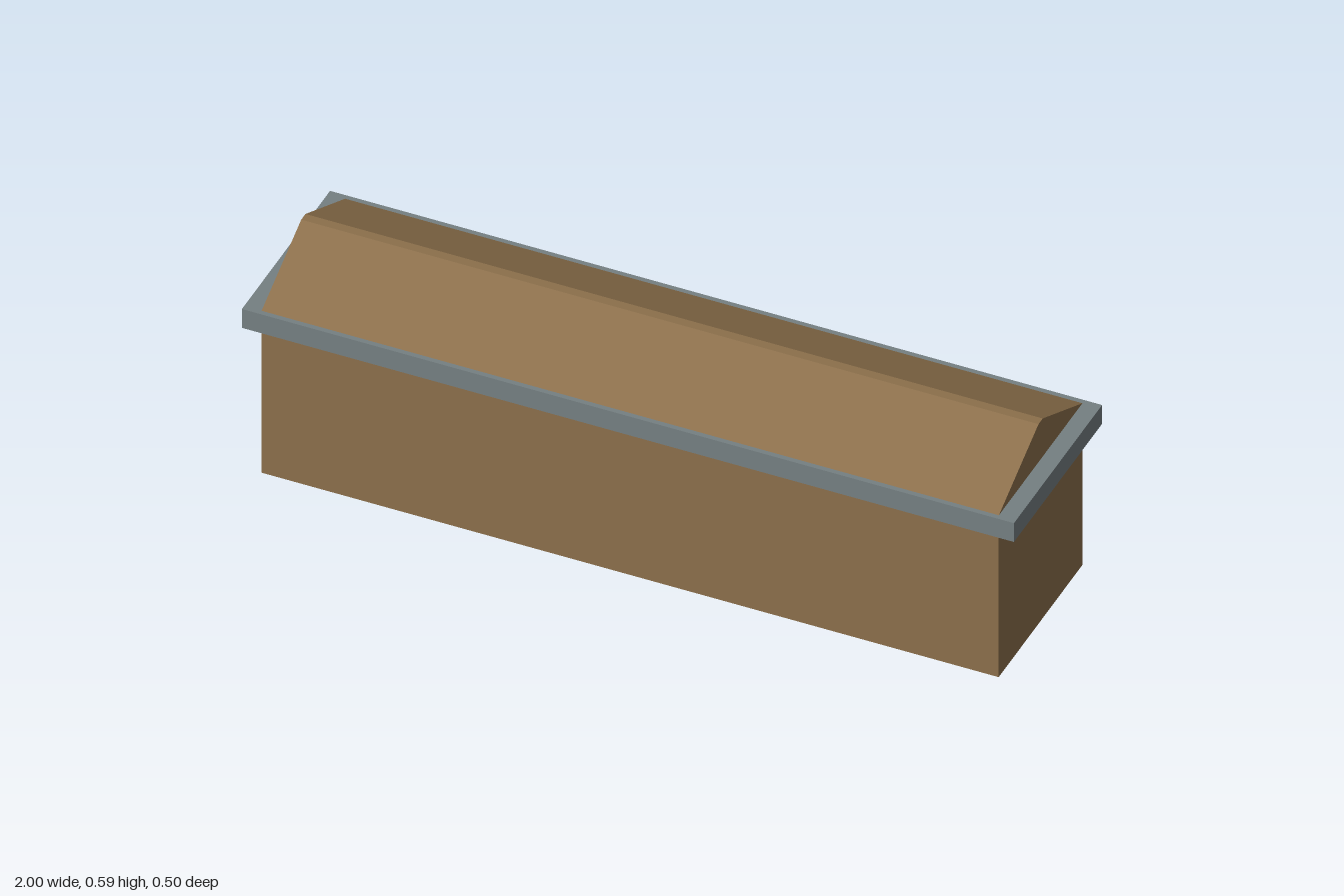
import * as THREE from 'three';

const brown = new THREE.MeshStandardMaterial({ color: 0x8b6f4b });
brown.name = 'brown wood';
const grey = new THREE.MeshStandardMaterial({ color: 0x757f82 });
grey.name = 'grey band';

function box(name, width, height, depth, y, material) {
  const mesh = new THREE.Mesh(new THREE.BoxGeometry(width, height, depth), material);
  mesh.name = name;
  mesh.position.y = y + height / 2;
  return mesh;
}

export function createModel() {
  const group = new THREE.Group();
  group.name = 'gabledBox';
  const length = 1.91;
  const bandBottom = 0.425, bandTop = 0.481, top = 0.594;

  // Long body and the overhanging band round its top
  group.add(box('body', length, bandBottom, 0.478, 0, brown));
  group.add(box('band', 2, bandTop - bandBottom, 0.502, bandBottom, grey));

  // Gabled lid with a narrow flat ridge, extruded along x
  const profile = new THREE.Shape([
    new THREE.Vector2(-0.238, bandTop),
    new THREE.Vector2(0.238, bandTop),
    new THREE.Vector2(0.012, top),
    new THREE.Vector2(-0.012, top),
  ]);
  const geometry = new THREE.ExtrudeGeometry(profile, { depth: length, bevelEnabled: false });
  geometry.translate(0, 0, -length / 2).rotateY(Math.PI / 2);
  const lid = new THREE.Mesh(geometry, brown);
  lid.name = 'lid';
  group.add(lid);

  return group;
}
